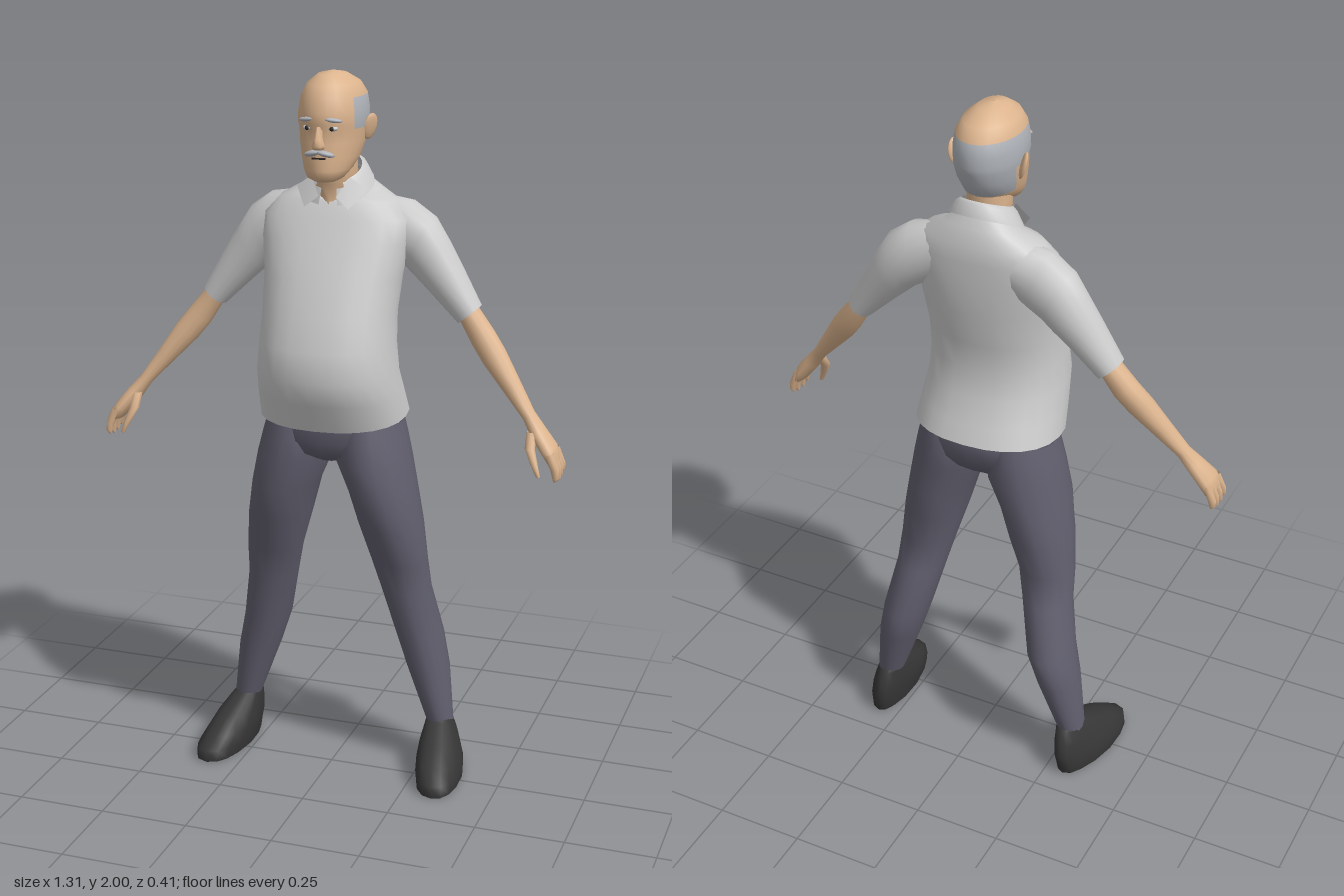
import * as THREE from 'three';

const mat = (color) => new THREE.MeshStandardMaterial({ color, side: THREE.DoubleSide });
const SKIN = mat(0xdcb48e), HAIR = mat(0xaeb2b8), SHIRT = mat(0xcccccc), PANTS = mat(0x615f6e);
const SHOE = mat(0x363636), WHITE = mat(0xe6e6e6), DARK = mat(0x2a2626);

// horizontal cross-section: height, half width, front z, back z, centre x, tilt
const row = (y, a, zf, zb, x = 0, tilt = 0) => [x, y, (zf + zb) / 2, a, (zf - zb) / 2, 0, tilt];
const mirrored = (rings) => rings.map(([x, y, z, a, b, ang = 0, t = 0]) => [-x, y, z, a, b, -ang, t]);

// skin over rings [x, y, z, half width, half depth, roll, tilt], listed top to bottom
function loft(rings, { n = 16, p = 1, keep = null, warp = null } = {}) {
  const pos = [], idx = [], v = new THREE.Vector3();
  const pw = (t) => Math.sign(t) * Math.abs(t) ** p;
  for (const [x, y, z, a, b, ang = 0, tilt = 0] of rings) {
    for (let j = 0; j < n; j++) {
      const t = (j / n) * Math.PI * 2, u = a * pw(Math.cos(t)), w = b * pw(Math.sin(t));
      v.set(x + u * Math.cos(ang), y + u * Math.sin(ang) + w * tilt, z + w);
      if (warp) warp(v);
      pos.push(v.x, v.y, v.z);
    }
  }
  for (let i = 0; i < rings.length - 1; i++) {
    for (let j = 0; j < n; j++) {
      const a = i * n + j, b = i * n + (j + 1) % n;
      idx.push([a, b, a + n, b, b + n, a + n]);
    }
  }
  const g = new THREE.BufferGeometry();
  g.setAttribute('position', new THREE.Float32BufferAttribute(pos, 3));
  g.setIndex(idx.flat());
  g.computeVertexNormals();
  if (keep) {
    const mid = (q, k) => (pos[q[0] * 3 + k] + pos[q[1] * 3 + k] + pos[q[2] * 3 + k] + pos[q[4] * 3 + k]) / 4;
    g.setIndex(idx.filter((q) => keep(mid(q, 0), mid(q, 1), mid(q, 2))).flat());
  }
  return g;
}

export function createModel() {
  const root = new THREE.Group();
  const add = (name, geo, material, parent = root) => {
    const m = new THREE.Mesh(geo, material);
    m.name = name;
    parent.add(m);
    return m;
  };
  const blob = (name, material, p, s, rz = 0, ry = 0) => {
    const m = add(name, new THREE.SphereGeometry(1, 10, 8), material);
    m.position.set(...p);
    m.scale.set(...s);
    m.rotation.set(0, ry, rz);
  };

  // head: bald skull with a fringe of hair round the back
  const headRings = [
    row(2.0, 0.001, -0.009, -0.011), row(1.992, 0.037, 0.04, -0.06), row(1.968, 0.068, 0.077, -0.115),
    row(1.937, 0.084, 0.098, -0.143), row(1.9, 0.09, 0.107, -0.15), row(1.87, 0.09, 0.11, -0.15),
    row(1.855, 0.088, 0.1, -0.147), row(1.82, 0.084, 0.104, -0.135), row(1.78, 0.075, 0.106, -0.11),
    row(1.75, 0.063, 0.108, -0.06), row(1.728, 0.048, 0.104, -0.01), row(1.718, 0.03, 0.085, 0.0),
    row(1.716, 0.001, 0.041, 0.039),
  ];
  const isHair = (x, y, z) => y > 1.785 && y < 1.94 && z < (y > 1.85 ? 0.03 : -0.045);
  add('head', loft(headRings, { n: 24, keep: (x, y, z) => !isHair(x, y, z) }), SKIN);
  add('hair', loft(headRings, { n: 24, keep: isHair }), HAIR);
  add('neck', loft([
    row(1.82, 0.06, 0.035, -0.11), row(1.75, 0.058, 0.035, -0.1), row(1.7, 0.06, 0.022, -0.105),
    row(1.665, 0.042, 0.02, -0.1), row(1.635, 0.008, 0.03, -0.08),
  ]), SKIN);
  add('nose', loft([
    row(1.868, 0.007, 0.112, 0.08), row(1.835, 0.011, 0.126, 0.08),
    row(1.818, 0.018, 0.134, 0.08), row(1.808, 0.014, 0.122, 0.08), row(1.807, 0.001, 0.1, 0.08),
  ], { n: 8 }), SKIN);
  add('mouth', new THREE.BoxGeometry(0.036, 0.004, 0.012), DARK).position.set(0, 1.784, 0.102);

  // shirt body, with the belly pushed forward
  add('shirt', loft([
    row(1.7, 0.075, 0.005, -0.118, 0, -0.6), row(1.682, 0.11, 0.01, -0.14, 0, -0.25),
    row(1.655, 0.165, 0.022, -0.157), row(1.61, 0.205, 0.045, -0.16), row(1.55, 0.205, 0.078, -0.16),
    row(1.46, 0.19, 0.122, -0.157), row(1.36, 0.183, 0.165, -0.14), row(1.28, 0.186, 0.19, -0.132),
    row(1.2, 0.192, 0.208, -0.148), row(1.13, 0.2, 0.178, -0.178), row(1.065, 0.206, 0.143, -0.2, 0, -0.09),
  ], { n: 24, p: 0.88 }), SHIRT);
  add('collar', loft([
    row(1.738, 0.066, 0.018, -0.115, 0, -0.45), row(1.728, 0.08, 0.025, -0.128, 0, -0.5),
    row(1.69, 0.1, 0.035, -0.14, 0, -0.5),
  ], { n: 24, keep: (x, y, z) => z < 0.012 || Math.abs(x) > 0.03 }), SHIRT);

  // trouser seat joining the two legs
  add('trouserSeat', loft([
    row(1.11, 0.18, 0.09, -0.165), row(1.06, 0.191, 0.1, -0.18), row(1.0, 0.195, 0.098, -0.168),
    row(0.96, 0.14, 0.08, -0.14), row(0.935, 0.04, 0.04, -0.09), row(0.93, 0.001, 0, -0.05),
  ], { n: 20, p: 0.9 }), PANTS);

  const sleeve = [
    [0.1, 1.6, -0.085, 0.07, 0.06, 1.25], [0.17, 1.575, -0.088, 0.085, 0.068, 1.2],
    [0.225, 1.54, -0.09, 0.08, 0.068, 1.08], [0.26, 1.495, -0.088, 0.068, 0.063, 0.9],
    [0.295, 1.45, -0.083, 0.058, 0.056, 0.75], [0.368, 1.355, -0.075, 0.039, 0.047, 0.7],
  ];
  const arm = [
    [0.32, 1.42, -0.076, 0.032, 0.036, 0.65], [0.37, 1.352, -0.073, 0.031, 0.036, 0.65],
    [0.41, 1.295, -0.064, 0.036, 0.037, 0.65], [0.445, 1.25, -0.05, 0.036, 0.036, 0.65],
    [0.5, 1.18, -0.028, 0.027, 0.031, 0.65], [0.555, 1.11, -0.005, 0.018, 0.025, 0.65],
    [0.585, 1.07, 0.008, 0.022, 0.034, 0.6], [0.618, 1.03, 0.018, 0.022, 0.045, 0.5],
    [0.634, 1.0, 0.022, 0.015, 0.045, 0.4], [0.635, 0.995, 0.022, 0.001, 0.001, 0.4],
  ];
  const thumb = [
    [0.572, 1.075, 0.025, 0.014, 0.014], [0.573, 1.035, 0.05, 0.014, 0.014],
    [0.59, 0.995, 0.066, 0.01, 0.01], [0.602, 0.965, 0.07, 0.006, 0.006], [0.602, 0.962, 0.07, 0.001, 0.001],
  ];
  const finger = (z, len) => [
    [0.627, 1.025, z, 0.014, 0.012, 0.4], [0.645, 0.985, z * 1.1, 0.012, 0.011, 0.2],
    [0.648, 0.985 - len * 0.7, z * 1.15, 0.009, 0.009], [0.645, 0.985 - len, z * 1.15, 0.003, 0.003],
  ];
  const leg = [
    row(1.07, 0.085, 0.085, -0.165, 0.1), row(1.0, 0.099, 0.098, -0.17, 0.105),
    row(0.94, 0.105, 0.102, -0.165, 0.114), row(0.85, 0.094, 0.1, -0.16, 0.142),
    row(0.75, 0.089, 0.075, -0.15, 0.164), row(0.64, 0.08, 0.03, -0.128, 0.186),
    row(0.55, 0.071, 0.008, -0.15, 0.2), row(0.4, 0.066, -0.018, -0.197, 0.232),
    row(0.3, 0.06, -0.032, -0.185, 0.258), row(0.13, 0.037, -0.055, -0.152, 0.298),
  ];
  const shoe = [
    row(0.15, 0.034, -0.06, -0.148, 0.3), row(0.14, 0.041, -0.045, -0.165, 0.302),
    row(0.1, 0.054, 0.035, -0.183, 0.31), row(0.065, 0.062, 0.09, -0.19, 0.315),
    row(0.035, 0.066, 0.133, -0.186, 0.322), row(0.004, 0.064, 0.137, -0.18, 0.324),
    row(0, 0.06, 0.132, -0.176, 0.324), row(0, 0.001, 0, -0.01, 0.324),
  ];

  for (const [side, s] of [['left', 1], ['right', -1]]) {
    const limb = (name, rings, material, opt) =>
      add(side + name, loft(s > 0 ? rings : mirrored(rings), opt), material);
    limb('Sleeve', sleeve, SHIRT);
    limb('Arm', arm, SKIN, { n: 12 });
    limb('Thumb', thumb, SKIN, { n: 8 });
    [[0.054, 0.032], [0.032, 0.038], [0.009, 0.036], [-0.012, 0.026]].forEach(([z, len], i) =>
      limb('Finger' + (i + 1), finger(z, len), SKIN, { n: 6 }));
    limb('TrouserLeg', leg, PANTS);
    // toes point outwards and the heel narrows
    limb('Shoe', shoe, SHOE, {
      p: 0.85,
      warp: (v) => {
        const k = v.z < -0.05 ? 1 + (v.z + 0.05) * 2.2 : 1;
        v.x = s * (0.318 + (Math.abs(v.x) - 0.318) * k + 0.1 * (v.z + 0.03));
      },
    });

    // face and collar details
    blob(side + 'Ear', SKIN, [s * 0.095, 1.853, -0.035], [0.008, 0.037, 0.024], -s * 0.25, -s * 0.5);
    blob(side + 'Eye', WHITE, [s * 0.035, 1.862, 0.091], [0.014, 0.007, 0.01], 0, s * 0.3);
    blob(side + 'Pupil', DARK, [s * 0.034, 1.862, 0.098], [0.006, 0.006, 0.005]);
    blob(side + 'Eyebrow', HAIR, [s * 0.038, 1.884, 0.096], [0.024, 0.006, 0.009], -s * 0.12, s * 0.35);
    blob(side + 'Moustache', HAIR, [s * 0.019, 1.797, 0.104], [0.025, 0.008, 0.013], -s * 0.22, s * 0.3);
    const flap = new THREE.BufferGeometry().setFromPoints([
      new THREE.Vector3(s * 0.055, 1.72, 0.005), new THREE.Vector3(s * 0.024, 1.672, 0.038),
      new THREE.Vector3(s * 0.062, 1.642, 0.045), new THREE.Vector3(s * 0.098, 1.69, 0.0),
    ]);
    flap.setIndex(s > 0 ? [0, 1, 2, 0, 2, 3] : [0, 2, 1, 0, 3, 2]);
    flap.computeVertexNormals();
    add(side + 'CollarFlap', flap, SHIRT);
  }
  return root;
}
